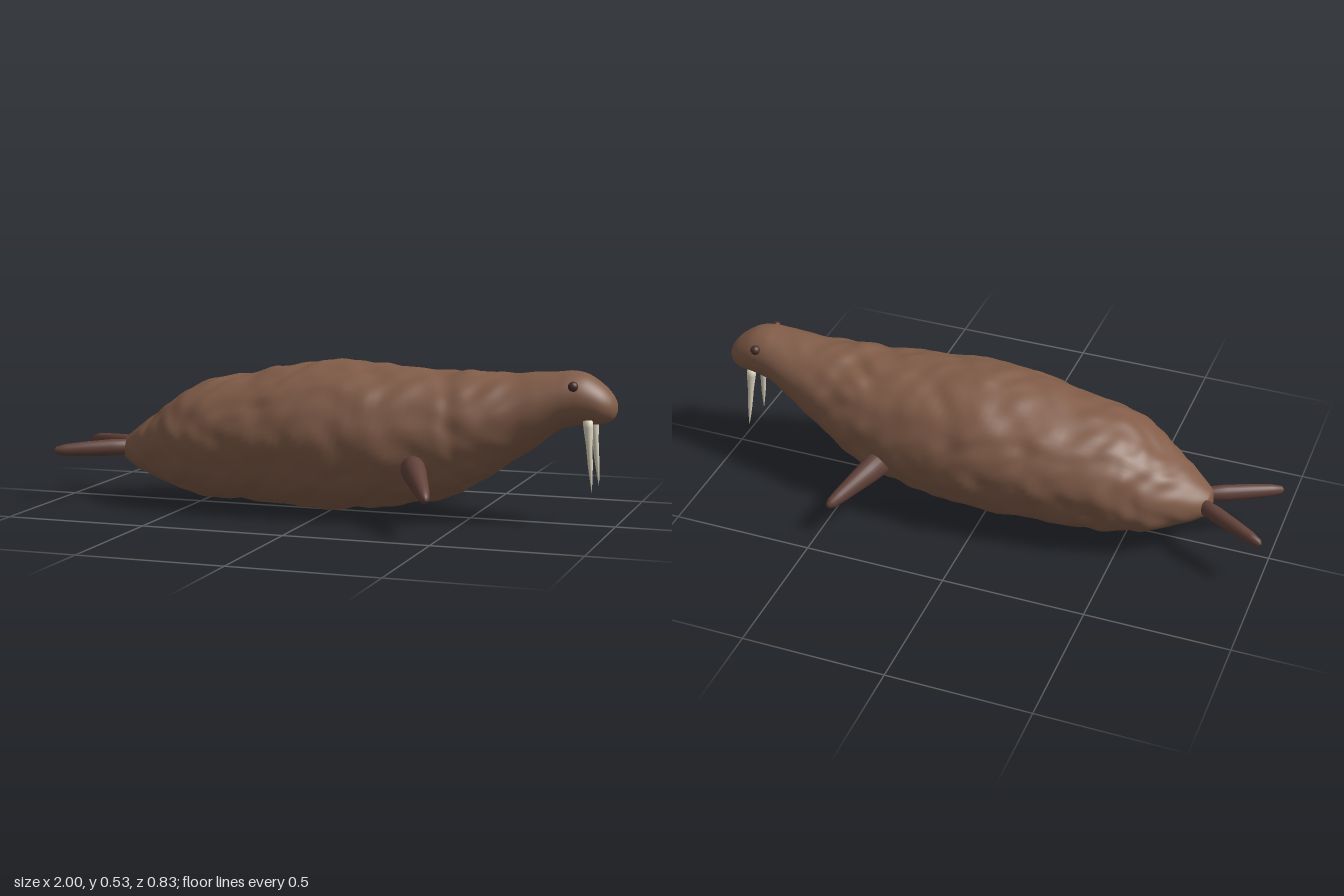
import * as THREE from 'three';

const material = (name, color) => {
  const m = new THREE.MeshStandardMaterial({ color });
  m.name = name;
  return m;
};

// Body stations along the spine: x, bottom, top, half width
const STATIONS = [
  [-0.79, 0.18, 0.18, 0], [-0.785, 0.15, 0.215, 0.035], [-0.77, 0.135, 0.232, 0.06],
  [-0.7, 0.095, 0.285, 0.115], [-0.6, 0.06, 0.36, 0.17], [-0.5, 0.035, 0.425, 0.212],
  [-0.4, 0.024, 0.452, 0.234], [-0.2, 0.016, 0.49, 0.257], [0, 0.009, 0.523, 0.267],
  [0.2, 0.028, 0.515, 0.254], [0.4, 0.064, 0.503, 0.222], [0.5, 0.105, 0.502, 0.198],
  [0.6, 0.17, 0.503, 0.17], [0.7, 0.24, 0.506, 0.14], [0.8, 0.315, 0.515, 0.112],
  [0.85, 0.333, 0.52, 0.1], [0.9, 0.342, 0.51, 0.089], [0.95, 0.345, 0.478, 0.072],
  [0.98, 0.357, 0.448, 0.05], [0.995, 0.377, 0.422, 0.026], [1, 0.4, 0.4, 0],
];

// Lumpy hide: warped waves in all three directions, as a height in about -1..1
function lumps(x, y, z) {
  const u = x + 0.03 * Math.sin(21 * y + 5 * z), v = y + 0.03 * Math.sin(23 * z + 7 * x);
  const w = z + 0.03 * Math.sin(19 * x + 3 * y);
  const wave = (f, p) => Math.sin(f * u + p) * Math.cos(f * v) + Math.sin(f * v + p) * Math.cos(f * w)
    + Math.sin(f * w + p) * Math.cos(f * u);
  return 0.5 * wave(27, 0.7) + 0.3 * wave(53, 2.1);
}

function bodyGeometry(rows = 180, sides = 90) {
  const curve = (pick) => new THREE.CatmullRomCurve3(STATIONS.map(pick), false, 'catmullrom', 0.5);
  const belly = curve(([x, b, , w]) => new THREE.Vector3(x, b, w));
  const back = curve(([x, , t]) => new THREE.Vector3(x, t, 0));
  const positions = [], index = [];
  for (let i = 0; i <= rows; i++) {
    const low = belly.getPoint(i / rows), high = back.getPoint(i / rows);
    const x = low.x, mid = (low.y + high.y) / 2, half = (high.y - low.y) / 2;
    // The head and the tail tip stay smooth
    const rough = 0.007 * THREE.MathUtils.smoothstep(x, -0.79, -0.65)
      * (1 - THREE.MathUtils.smoothstep(x, 0.5, 0.85));
    for (let j = 0; j < sides; j++) {
      const a = (j / sides) * Math.PI * 2, c = Math.cos(a), s = Math.sin(a);
      const y = mid + c * half, z = s * low.z;
      const h = rough * lumps(x, y, z);
      positions.push(x, Math.max(0, y + c * h), z + s * h);
      if (i < rows) {
        const p = i * sides + j, q = i * sides + (j + 1) % sides;
        index.push(p, q, p + sides, q, q + sides, p + sides);
      }
    }
  }
  const g = new THREE.BufferGeometry();
  g.setAttribute('position', new THREE.Float32BufferAttribute(positions, 3));
  g.setIndex(index);
  g.computeVertexNormals();
  return g;
}

// Round tapered limb from root to tip; profile holds [radius, fraction of length]
function limb(name, root, tip, profile, mat, flatten = 1) {
  const from = new THREE.Vector3(...root), axis = new THREE.Vector3(...tip).sub(from);
  const length = axis.length();
  const points = profile.map(([r, f]) => new THREE.Vector2(r, f * length));
  const mesh = new THREE.Mesh(new THREE.LatheGeometry(points, 24), mat);
  mesh.name = name;
  mesh.position.copy(from);
  // The limb runs along its own y; its own x lies level
  axis.normalize();
  const across = new THREE.Vector3(0, 1, 0).cross(axis).normalize();
  const up = across.clone().cross(axis);
  mesh.quaternion.setFromRotationMatrix(new THREE.Matrix4().makeBasis(across, axis, up));
  mesh.scale.x = flatten;
  return mesh;
}

export function createModel() {
  const hide = material('brown hide', 0x825d49);
  const flipper = material('dark flipper', 0x62423a);
  const ivory = material('ivory', 0xddd6c0);
  const dark = material('dark eye', 0x4a2f2a);

  const model = new THREE.Group();
  model.name = 'walrus';

  const body = new THREE.Mesh(bodyGeometry(), hide);
  body.name = 'body';
  model.add(body);

  const frontProfile = [[0, 0], [0.048, 0.02], [0.045, 0.3], [0.036, 0.55], [0.027, 0.8],
    [0.021, 0.92], [0.013, 0.98], [0, 1]];
  const rearProfile = [[0, 0], [0.026, 0.03], [0.03, 0.3], [0.027, 0.6], [0.022, 0.85],
    [0.014, 0.97], [0, 1]];
  const tuskProfile = [[0, 0], [0.017, 0.02], [0.016, 0.12], [0.011, 0.35], [0.008, 0.65],
    [0.004, 0.85], [0, 1]];

  for (const s of [1, -1]) {
    model.add(limb('frontFlipper', [0.335, 0.21, s * 0.17], [0.46, 0.126, s * 0.413], frontProfile, flipper, 0.88));
    model.add(limb('rearFlipper', [-0.74, 0.19, s * 0.022], [-1, 0.18, s * 0.162], rearProfile, flipper, 0.85));
    model.add(limb('tusk', [0.909, 0.365, s * 0.046], [0.93, 0.122, s * 0.06], tuskProfile, ivory));

    const eye = new THREE.Mesh(new THREE.SphereGeometry(0.017, 20, 14), dark);
    eye.name = 'eye';
    eye.position.set(0.866, 0.476, s * 0.086);
    model.add(eye);
  }
  return model;
}
